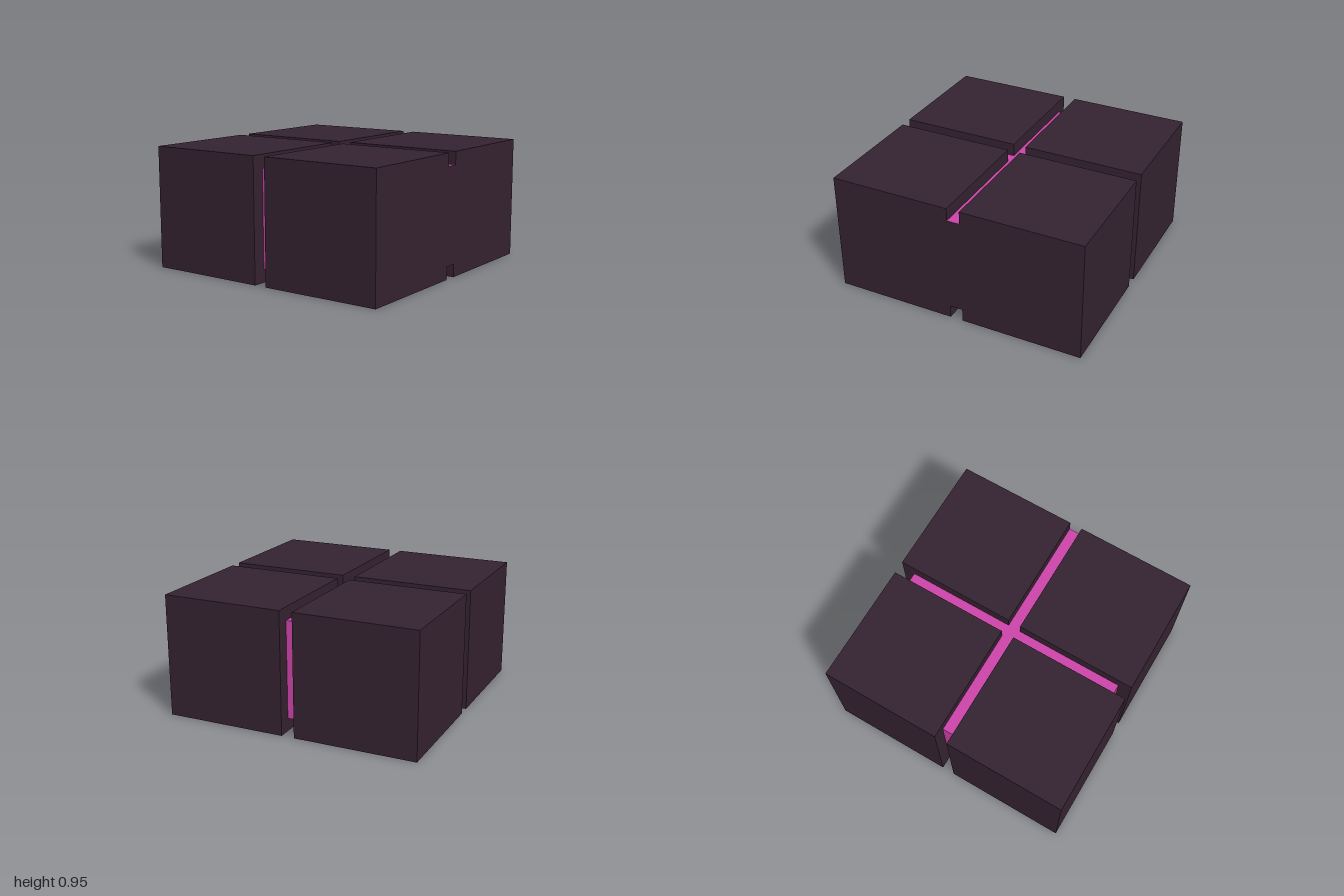
import * as THREE from 'three';

const dark = new THREE.MeshStandardMaterial({ color: 0x342230, flatShading: true });
const pink = new THREE.MeshStandardMaterial({ color: 0xcc44aa, flatShading: true });

function addBox(parent, name, size, position, material) {
  const mesh = new THREE.Mesh(new THREE.BoxGeometry(...size), material);
  mesh.name = name;
  mesh.position.set(...position);
  parent.add(mesh);
}

export function createModel() {
  const model = new THREE.Group();
  model.name = 'quarteredBlock';

  // Four corner blocks, parted by a cross-shaped gap
  const side = 0.95;
  const offset = 1 - side / 2;
  for (const [zName, z] of [['front', 1], ['back', -1]]) {
    for (const [xName, x] of [['Left', 1], ['Right', -1]]) {
      addBox(model, `${zName}${xName}Block`, [side, side, side], [x * offset, side / 2, z * offset], dark);
    }
  }

  // Coloured core seen through the gaps
  const coreHeight = 0.75;
  addBox(model, 'core', [1.8, coreHeight, 1.8], [0, side / 2, 0], pink);

  // Tongue of the core reaching the +x side, with a dark end face (first material slot)
  addBox(model, 'coreTongue', [0.1, coreHeight, 0.1], [0.95, side / 2, 0],
    [dark, pink, pink, pink, pink, pink]);

  return model;
}
